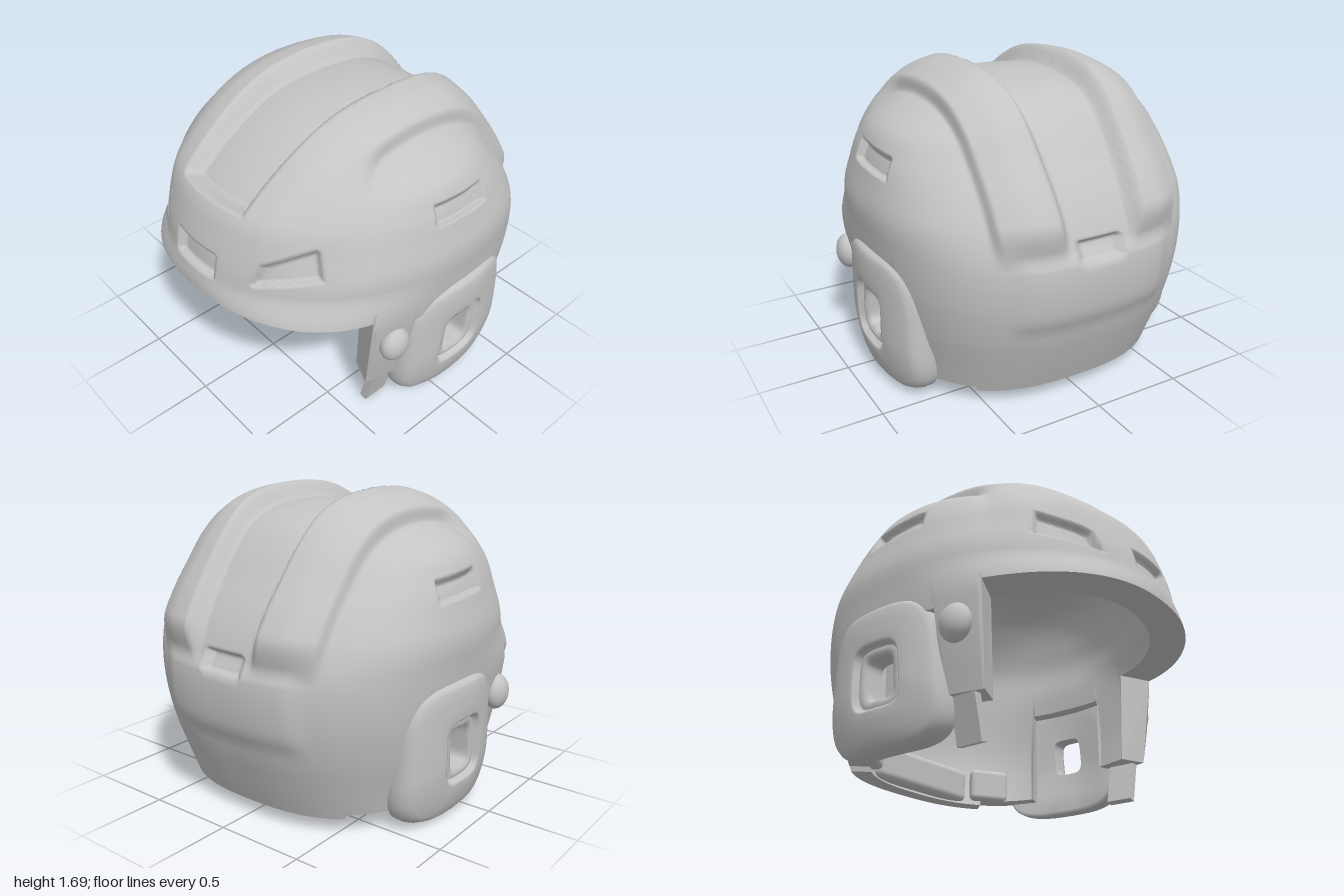
import * as THREE from 'three';
import { RoundedBoxGeometry } from 'three/addons/geometries/RoundedBoxGeometry.js';

const { smoothstep: smooth, lerp, clamp } = THREE.MathUtils;
const CZ = -0.05; // z of the shell's middle
const BRIM = 7; // index of the brim section

// Horizontal sections, crown to nape: height, reach forward, reach back, half width
const SECTIONS = [
  [1.63, 0, 0, 0], [1.6, 0.28, 0.29, 0.31], [1.53, 0.46, 0.47, 0.57], [1.42, 0.65, 0.59, 0.755],
  [1.29, 0.81, 0.69, 0.83], [1.15, 0.91, 0.79, 0.87], [1.0, 1.0, 0.87, 0.9], [0.84, 1.045, 0.92, 0.89],
  [0.65, 1.02, 0.92, 0.87], [0.45, 1.0, 0.88, 0.835], [0.25, 0.97, 0.81, 0.79], [0.1, 0.95, 0.75, 0.76],
];
const sectionAt = (i) => (i < 0 ? [1.6, -0.28, -0.29, -0.31] : SECTIONS[Math.min(i, SECTIONS.length - 1)]);

function section(u) {
  const i = Math.min(Math.floor(u), SECTIONS.length - 2), t = u - i;
  const [p, q, r, s] = [-1, 0, 1, 2].map((k) => sectionAt(i + k));
  return q.map((b, k) => b + 0.5 * t * (r[k] - p[k]
    + t * (2 * p[k] - 5 * b + 4 * r[k] - s[k] + t * (3 * (b - r[k]) + s[k] - p[k]))));
}

// Vent outlines, counter-clockwise, in (x, y) or (z, y)
const VENTS = [
  { face: 'front', pts: [[-0.16, 0.94], [0.16, 0.94], [0.155, 1.075], [-0.155, 1.075]] },
  { face: 'front', pts: [[0.36, 0.98], [0.64, 1.05], [0.575, 1.21], [0.38, 1.1]] },
  { face: 'side', pts: [[-0.3, 1.19], [0.08, 1.21], [0.07, 1.33], [-0.29, 1.31]] },
  { face: 'back', pts: [[-0.13, 0.84], [0.13, 0.84], [0.13, 0.96], [-0.13, 0.96]] },
];

function ventDepth(x, y, z) {
  let depth = 0;
  for (const { face, pts } of VENTS) {
    if (face === 'front' ? z < 0.3 : face === 'back' ? z > -0.3 : x < 0.5) continue;
    const h = face === 'side' ? z : x;
    let d = -Infinity;
    pts.forEach(([ax, ay], i) => {
      const [bx, by] = pts[(i + 1) % pts.length];
      d = Math.max(d, ((h - ax) * (by - ay) - (y - ay) * (bx - ax)) / Math.hypot(bx - ax, by - ay));
    });
    depth = Math.max(depth, 0.04 * smooth(-d, 0, 0.02));
  }
  return depth;
}

// Height of the two ribs, the brow and the rear panel above the plain dome
function relief(x, y, z) {
  const front = z > 0.2 ? smooth(y, 0.9, 1.29) : 1;
  const fadeBack = z < 0 ? smooth(y, 0.86, 1.06) : 1;
  const inner = 0.235 - 0.045 * z * z;
  const blend = 0.3 * smooth(z, 0.15, 0.6); // the outer edge melts into the brow
  const rib = smooth(x, inner - 0.022, inner + 0.022) * (1 - smooth(x, 0.49 - blend * 0.3, 0.55 + blend));
  const brow = z > 0.3 ? (1 - smooth(y, 1.27, 1.3)) * (1 - smooth(x, 0.24, 0.4)) : 0;
  const height = 0.105 - 0.035 * smooth(x, 0.33, 0.54) - 0.02 * smooth(Math.abs(z), 0.3, 0.7);
  const panel = z < -0.5 ? smooth(y, 0.48, 0.57) * (1 - smooth(y, 0.84, 0.93)) * (1 - smooth(x, 0.36, 0.5)) : 0;
  return height * Math.max(rib, brow) * front * fadeBack + 0.02 * panel;
}

function shellPoint(u, a) {
  const [y, f, b, w] = section(u);
  const c = Math.cos(a), s = Math.sin(a);
  const e = 2 / (c > 0 ? 2 + 0.5 * smooth(u, 6.3, 7.7) : 2.2 + 0.4 * smooth(u, 2, 6));
  const x = w * Math.sign(s) * Math.abs(s) ** e;
  const z = CZ + (c > 0 ? f : b) * Math.sign(c) * Math.abs(c) ** e;
  return new THREE.Vector3(x, y, z);
}

function outerPoint(u, a) {
  const p = shellPoint(u, a), ax = Math.abs(p.x);
  const dir = new THREE.Vector3(p.x, Math.max(0, p.y - 0.75), p.z - CZ).normalize();
  return p.addScaledVector(dir, relief(ax, p.y, p.z) - ventDepth(ax, p.y, p.z));
}

// The padded lining is thin at the lower edge and thick under the dome
function innerPoint(u, a) {
  const p = shellPoint(u, a);
  const thick = smooth(p.y, 0.25, 0.85);
  p.x *= lerp(lerp(0.86, 0.81, smooth(p.z, 0, 0.4)), 0.77, thick);
  p.z = CZ + (p.z - CZ) * lerp(0.87, p.z > CZ ? 0.82 : 0.75, thick);
  if (p.y > 0.84) p.y = 0.84 + (p.y - 0.84) * 0.8;
  return p;
}

// Lower edge of the shell around the head, as a section index
function rimIndex(angle) {
  const a = Math.abs(angle > Math.PI ? angle - 2 * Math.PI : angle);
  let y;
  if (a < 1.13) y = 0.78 + 0.045 * Math.cos(a * 1.39) ** 2;
  else if (a < 1.39) y = 0.25;
  else if (a < 1.85) y = 0.68;
  else y = a < 2.45 ? 0.14 : 0.1;
  for (let i = BRIM; i < SECTIONS.length - 1; i++) {
    const top = SECTIONS[i][0], low = SECTIONS[i + 1][0];
    if (y >= low) return i + clamp((top - y) / (top - low), 0, 1);
  }
  return SECTIONS.length - 1;
}

// Surface of closed loops: point(row, angle)
function loops(rows, cols, point) {
  const pos = [], index = [];
  for (let i = 0; i <= rows; i++) {
    for (let j = 0; j < cols; j++) {
      pos.push(...point(i, (j / cols) * Math.PI * 2).toArray());
      if (i === rows) continue;
      const k = (j + 1) % cols, r = i * cols, n = r + cols;
      index.push(r + j, n + j, n + k, r + j, n + k, r + k);
    }
  }
  const geo = new THREE.BufferGeometry();
  geo.setAttribute('position', new THREE.Float32BufferAttribute(pos, 3));
  geo.setIndex(index);
  geo.computeVertexNormals();
  return geo;
}

// Row number to section index: even rows to the brim, then down to the rim
const rowIndex = (i, dome, skirt, a) => (i <= dome ? (BRIM * i) / dome
  : lerp(BRIM, rimIndex(a), (i - dome) / skirt));

// Ear guard: from the window across the face, round the edge and back inside.
// Each row is [0 window .. 1 outline, depth]
const EAR_ROWS = [[0, -0.15], [0, -0.06], [0.03, -0.035], [0.14, -0.035], [0.18, -0.04], [0.22, -0.008], [0.27, 0],
  [0.45, 0], [0.65, 0], [0.85, -0.004], [0.93, -0.015], [0.98, -0.04], [1, -0.07], [0.99, -0.12],
  [0.93, -0.15], [0.5, -0.15], [0, -0.15]];

function earGuard(side) {
  const corner = (v, n) => Math.sign(v) * Math.abs(v) ** (2 / n);
  return loops(EAR_ROWS.length - 1, 112, (i, angle) => {
    const [k, depth] = EAR_ROWS[i], a = angle * side;
    const s = Math.sin(a), c = Math.cos(a);
    const oy = 0.41 + 0.38 * corner(c, 4.2);
    const oz = -0.15 + (0.38 - 0.07 * (oy - 0.41)) * corner(s, 4.2) - 0.04 * (oy - 0.41);
    const y = lerp(0.4 + 0.115 * corner(c, 4.5), oy, k);
    const z = lerp(-0.125 + 0.095 * corner(s, 4.5) - 0.08 * (y - 0.4) * (1 - k), oz, k);
    const x = 0.922 + depth - 0.5 * (z + 0.12) ** 2 - 0.45 * Math.max(0, 0.4 - y) ** 2;
    return new THREE.Vector3(x * side, y, z);
  });
}

export function createModel() {
  const group = new THREE.Group();
  const grey = new THREE.MeshStandardMaterial({ color: 0xc4c4c4 });
  grey.name = 'matte grey';
  const add = (name, geo, x = 0, y = 0, z = 0) => {
    const mesh = new THREE.Mesh(geo, grey);
    mesh.name = name;
    mesh.position.set(x, y, z);
    group.add(mesh);
    return mesh;
  };

  // Shell, its lining and the edge between them
  add('outerShell', loops(138, 384, (i, a) => outerPoint(rowIndex(i, 118, 20, a), a)));
  add('lining', loops(28, 384, (i, a) => innerPoint(rowIndex(28 - i, 20, 8, a), a)));
  const rim = loops(1, 384, (i, a) => (i ? innerPoint : outerPoint)(rimIndex(a), a)).toNonIndexed();
  rim.computeVertexNormals();
  add('shellRim', rim);

  // Padding inside the nape
  add('napePad', new RoundedBoxGeometry(0.78, 0.2, 0.1, 3, 0.04), 0, 0.21, -0.68);
  for (const side of [1, -1]) {
    add('napeSidePad', new RoundedBoxGeometry(0.24, 0.19, 0.08, 3, 0.03), side * 0.5, 0.22, -0.55)
      .rotation.y = side * -0.55;

    // Ear guard, side screw and cut chin strap
    add('earGuard', earGuard(side));
    add('sideScrew', new THREE.SphereGeometry(1, 28, 18), side * 0.84, 0.575, 0.33).scale.set(0.065, 0.1, 0.09);
    const strap = add('chinStrap', new THREE.BoxGeometry(0.045, 0.3, 0.15), side * 0.7, 0.17, 0.3);
    strap.rotation.z = side * -0.25;
  }
  return group;
}
